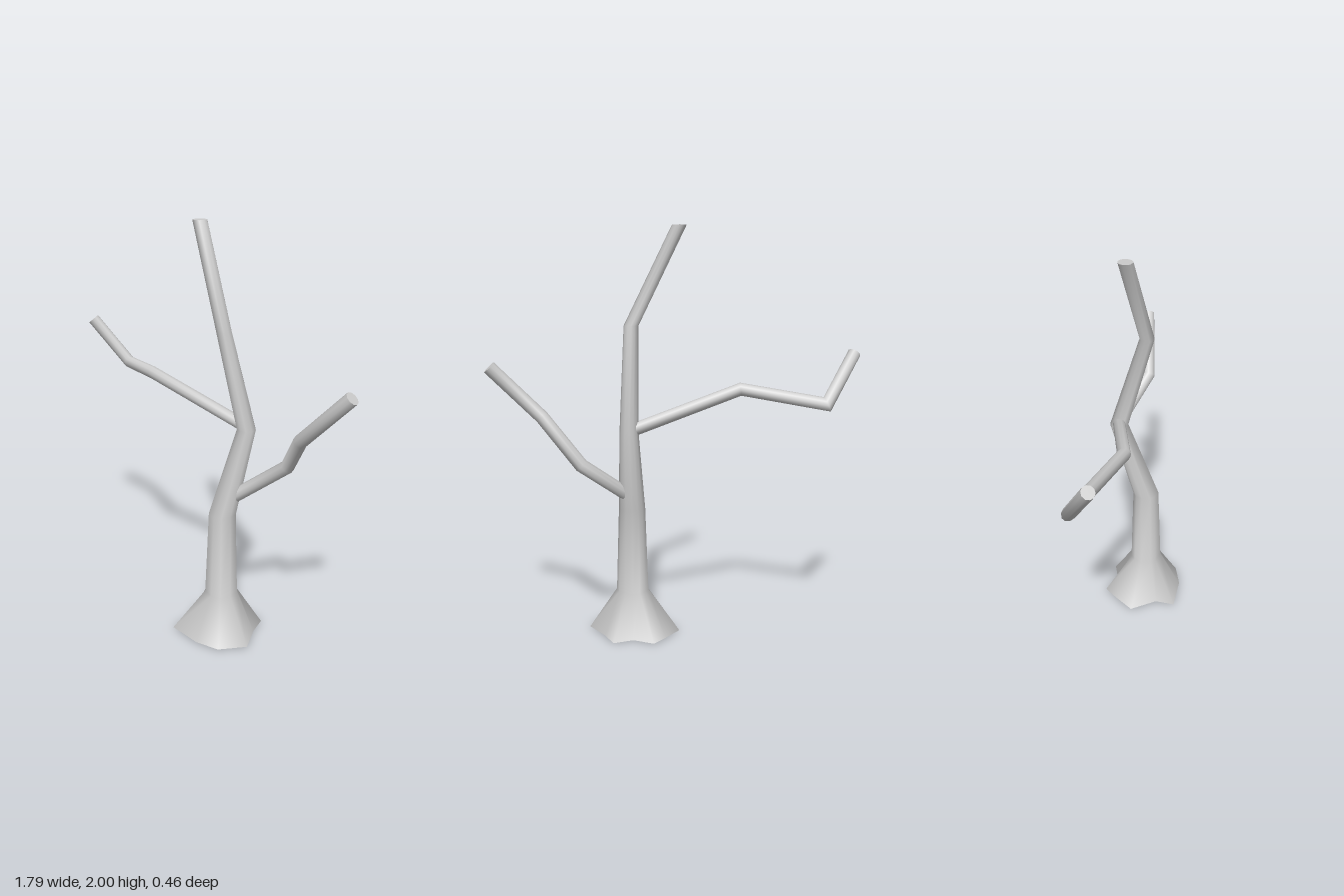
import * as THREE from 'three';
import { mergeGeometries } from 'three/addons/utils/BufferGeometryUtils.js';

const material = new THREE.MeshStandardMaterial({ color: 0xcccccc });
const V = (x, y, z) => new THREE.Vector3(x, y, z);

function indexed(points, index) {
  const g = new THREE.BufferGeometry().setFromPoints(points);
  g.setIndex(index);
  g.computeVertexNormals();
  return g;
}

// Flat fan closing a ring
function cap(ring, flip) {
  const n = ring.length;
  const centre = ring.reduce((s, p) => s.add(p), V(0, 0, 0)).divideScalar(n);
  const index = [];
  for (let i = 0; i < n; i++) {
    const j = (i + 1) % n;
    index.push(n, flip ? j : i, flip ? i : j);
  }
  return indexed([...ring, centre], index);
}

// Smooth skin over rings that run counter-clockwise about their direction
function loft(rings, name) {
  const n = rings[0].length;
  const index = [];
  for (let k = 0; k < rings.length - 1; k++) {
    for (let i = 0; i < n; i++) {
      const a = k * n + i, b = k * n + (i + 1) % n;
      index.push(a, b, b + n, a, b + n, a + n);
    }
  }
  const mesh = new THREE.Mesh(mergeGeometries([
    indexed(rings.flat(), index), cap(rings[0], true), cap(rings[rings.length - 1], false),
  ]), material);
  mesh.name = name;
  return mesh;
}

// Round limb with mitred bends: each ring is slid along its segment to the bend plane
function limb(path, radius, name, sides = 10) {
  const dirs = path.slice(1).map((p, i) => p.clone().sub(path[i]).normalize());
  const u = V(0, 1, 0).cross(dirs[0]).normalize();
  const v = dirs[0].clone().cross(u);
  const rings = [[]];
  for (let i = 0; i < sides; i++) {
    const a = (i / sides) * Math.PI * 2;
    rings[0].push(path[0].clone().addScaledVector(u, radius * Math.cos(a)).addScaledVector(v, radius * Math.sin(a)));
  }
  for (let k = 1; k < path.length; k++) {
    const d = dirs[k - 1];
    const normal = d.clone().add(dirs[k] ?? d).normalize();
    rings.push(rings[k - 1].map((p) => {
      const t = path[k].clone().sub(p).dot(normal) / d.dot(normal);
      return p.clone().addScaledVector(d, t);
    }));
  }
  return loft(rings, name);
}

export function createModel() {
  const tree = new THREE.Group();
  tree.name = 'bareTree';

  // Irregular root flare outline on the ground (x, z)
  const roots = [
    [0.415, 0.085], [0.345, -0.045], [0.31, -0.145], [0.21, -0.12], [0.115, -0.175], [0.05, -0.11],
    [-0.03, -0.02], [0.045, 0.11], [0.03, 0.208], [0.21, 0.227], [0.33, 0.2],
  ].map(([x, z]) => V(x, 0, z));

  // Level trunk rings above the roots: x, y, z, radius
  const levels = [
    [0.2, 0.21, 0.038, 0.08], [0.2, 0.63, 0.035, 0.066], [0.222, 1.03, -0.105, 0.046],
    [0.198, 1.53, 0.035, 0.036], [-0.025, 2, -0.04, 0.035],
  ];
  const angles = roots.map((p) => Math.atan2(p.z - 0.035, p.x - 0.2));
  const trunkRings = levels.map(([x, y, z, r]) =>
    angles.map((a) => V(x + r * Math.cos(a), y, z + r * Math.sin(a))));
  tree.add(loft([roots, ...trunkRings], 'trunk'));

  // Side branches
  tree.add(limb([V(0.21, 1.045, -0.105), V(-0.33, 1.222, -0.015), V(-0.71, 1.168, -0.2), V(-0.87, 1.4, -0.09)],
    0.031, 'rightBranch'));
  tree.add(limb([V(0.22, 0.705, 0), V(0.45, 0.89, -0.14), V(0.63, 1.1, 0.005), V(0.87, 1.345, -0.022)],
    0.033, 'leftBranch'));
  return tree;
}
